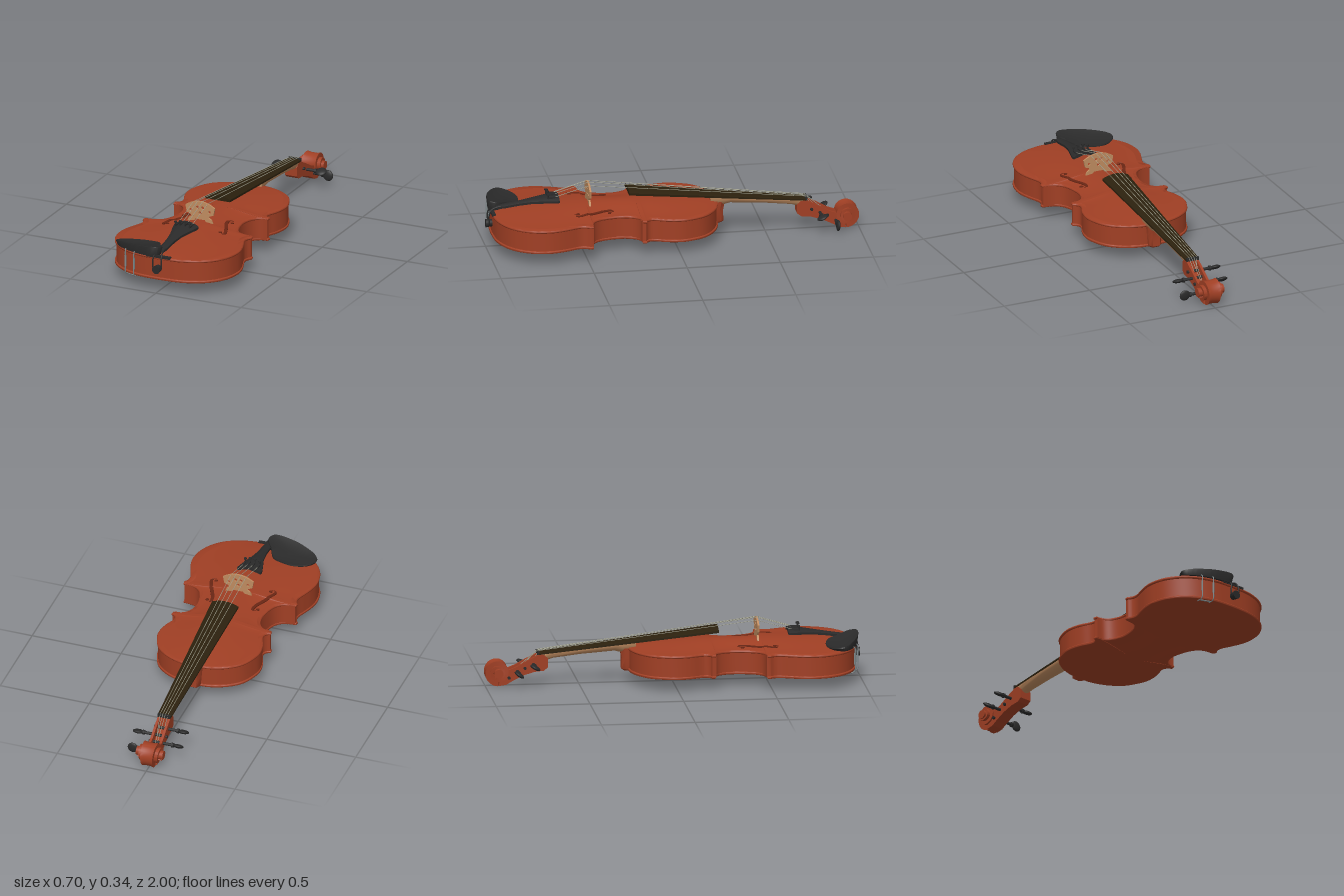
import * as THREE from 'three';
import { toCreasedNormals } from 'three/addons/utils/BufferGeometryUtils.js';

const mat = (name, color, side = THREE.FrontSide) => {
  const m = new THREE.MeshStandardMaterial({ color, side });
  m.name = name;
  return m;
};
const V = (x, y, z) => new THREE.Vector3(x, y, z);
const lerp = THREE.MathUtils.lerp;

// Solid skinned through a list of closed cross-sections with capped ends
function loft(sections, crease = 0.7) {
  const tris = [], n = sections[0].length;
  for (let i = 0; i < sections.length - 1; i++) for (let j = 0; j < n; j++) {
    const k = (j + 1) % n, p = sections[i], q = sections[i + 1];
    tris.push([p[j], p[k], q[j]], [p[k], q[k], q[j]]);
  }
  const cap = (s, flip) => {
    const c = s.reduce((a, p) => a.add(p), V(0, 0, 0)).divideScalar(n);
    for (let j = 0; j < n; j++) {
      const a = s[j], b = s[(j + 1) % n];
      tris.push(flip ? [c, b, a] : [c, a, b]);
    }
  };
  cap(sections[0], true);
  cap(sections[sections.length - 1], false);
  const volume = tris.reduce((s, [a, b, c]) => s + a.dot(b.clone().cross(c)), 0);
  const pos = tris.flatMap(([a, b, c]) => (volume < 0 ? [a, c, b] : [a, b, c]).flatMap(p => [p.x, p.y, p.z]));
  const g = new THREE.BufferGeometry();
  g.setAttribute('position', new THREE.Float32BufferAttribute(pos, 3));
  return toCreasedNormals(g, crease);
}

const spline = (pts, n) => new THREE.SplineCurve(pts.map(p => new THREE.Vector2(...p))).getPoints(n);

// Half outline of the body as (x, z): upper bout, waist, lower bout
const half = [
  ...spline([[0, -.24], [.08, -.235], [.17, -.2], [.24, -.14], [.28, -.05], [.286, .01], [.275, .07],
    [.255, .12], [.25, .148], [.262, .17], [.28, .178]], 44),
  ...spline([[.277, .2], [.24, .203], [.207, .23], [.187, .28], [.187, .34], [.205, .41], [.235, .45],
    [.272, .466], [.317, .47]], 32),
  ...spline([[.32, .488], [.305, .515], [.306, .55], [.325, .6], [.344, .66], [.35, .72], [.335, .8],
    [.29, .875], [.22, .93], [.12, .965], [0, .973]], 44),
];
const bodyShape = (sx, sz) => {
  const at = (p, s) => new THREE.Vector2(p.x * s * sx, -(0.366 + (p.y - 0.366) * sz));
  return new THREE.Shape([...half.map(p => at(p, 1)), ...half.slice(1, -1).reverse().map(p => at(p, -1))]);
};
const slab = (shape, y0, y1, bevel) => {
  const g = new THREE.ExtrudeGeometry(shape, {
    depth: y1 - y0 - 2 * bevel, bevelEnabled: bevel > 0, bevelSize: bevel, bevelThickness: bevel,
    bevelOffset: -bevel, bevelSegments: 3,
  });
  g.rotateX(-Math.PI / 2).translate(0, y0 + bevel, 0);
  return toCreasedNormals(g, 0.8);
};

// Arching of the plates
const swell = (s, z) => (0.5 + 0.5 * Math.cos(Math.PI * Math.min(1, s))) *
  Math.pow(Math.max(0, Math.sin(Math.PI * (z + 0.24) / 1.213)), 0.6);
function topY(x, z) {
  const i = Math.max(1, half.findIndex(p => p.y >= z));
  return 0.198 + 0.03 * swell(Math.abs(x) / half[i].x, z);
}
function archedPlate(y0, height) {
  const cols = 28, pos = [], idx = [];
  half.forEach((p, i) => {
    for (let j = 0; j <= cols; j++) {
      const s = j / cols * 2 - 1;
      pos.push(p.x * s * 0.975, y0 + height * swell(Math.abs(s), p.y), 0.366 + (p.y - 0.366) * 0.99);
      if (i && j) {
        const d = i * (cols + 1) + j, c = d - 1, b = d - cols - 1, a = b - 1;
        if (height > 0) idx.push(a, c, b, b, c, d); else idx.push(a, b, c, b, d, c);
      }
    }
  });
  const g = new THREE.BufferGeometry();
  g.setAttribute('position', new THREE.Float32BufferAttribute(pos, 3));
  g.setIndex(idx);
  g.computeVertexNormals();
  return g;
}

export function createModel() {
  const root = new THREE.Group();
  root.name = 'violin';
  const varnish = mat('varnish', 0xa03f24), maple = mat('maple', 0xc08c60), ebony = mat('ebony', 0x2a2a2a),
    board = mat('darkBoard', 0x2b200d), hole = mat('holeBrown', 0x6a2614),
    steel = mat('steel', 0x808a8c), stringMat = mat('string', 0xa5a593);
  const add = (name, g, m, parent = root) => {
    const mesh = new THREE.Mesh(g, m);
    mesh.name = name;
    parent.add(mesh);
    return mesh;
  };
  const tube = (pts, r, n = 24, sides = 8) => new THREE.TubeGeometry(new THREE.CatmullRomCurve3(pts), n, r, sides);

  // Body
  add('ribs', slab(bodyShape(.98, .988), .076, .19, 0), varnish);
  add('topEdge', slab(bodyShape(1, 1), .184, .199, .006), varnish);
  add('backEdge', slab(bodyShape(1, 1), .069, .084, .006), varnish);
  add('topPlate', archedPlate(.1985, .03), varnish);
  add('backPlate', archedPlate(.0695, -.035), varnish);

  // Sound holes: thin ribbons that follow the arching, with round ends
  const fCurve = spline([[.142, .358], [.132, .336], [.116, .342], [.122, .385], [.146, .44], [.166, .485],
    [.18, .53], [.166, .546], [.154, .528]], 40);
  for (const s of [-1, 1]) {
    add('soundHole', loft(fCurve.map((p, i) => {
      const w = .003 + .006 * Math.sin(Math.PI * i / 40), y = topY(p.x, p.y);
      return [[-w, .003], [w, .003], [w, -.003], [-w, -.003]].map(([d, h]) => V(s * (p.x + d), y + h, p.y - d * .4));
    })), hole);
    for (const p of [fCurve[0], fCurve[40]]) {
      add('soundHoleEnd', new THREE.CylinderGeometry(.009, .009, .006, 16).translate(s * p.x, topY(p.x, p.y), p.y), hole);
    }
  }

  // Neck heel, neck and fingerboard
  add('heel', loft([[.07, .028, -.262], [.08, .033, -.274], [.14, .038, -.272], [.19, .043, -.28], [.212, .044, -.285]]
    .map(([y, w, z]) => [V(-w, y, -.2), V(-w, y, z + .02), V(-w * .6, y, z), V(w * .6, y, z), V(w, y, z + .02), V(w, y, -.2)])), varnish);
  const boardTop = z => .182 + (z + .715) * .1236;
  const boardHalf = z => lerp(.037, .074, (z + .715) / .955);
  add('neck', loft([[-.2, .16], [-.27, .165], [-.31, .176], [-.5, .162], [-.64, .145], [-.7, .125]].map(([z, low]) => {
    const w = boardHalf(z) * .93, top = boardTop(z) - .014, ring = [];
    for (let i = 0; i <= 12; i++) ring.push(V(w * Math.cos(Math.PI * i / 12), top - (top - low) * Math.sin(Math.PI * i / 12), z));
    return ring;
  })), maple);
  add('fingerboard', loft([-.715, -.4, -.1, .24].map(z => {
    const w = boardHalf(z), t = boardTop(z), k = (z + .715) / .955, ring = [];
    for (let i = 0; i <= 10; i++) {
      const u = i / 5 - 1;
      ring.push(V(u * w, t - lerp(.004, .017, k) * u * u, z));
    }
    ring.push(V(w, t - lerp(.012, .029, k), z), V(-w, t - lerp(.012, .029, k), z));
    return ring;
  })), board);
  add('nut', new THREE.BoxGeometry(.07, .018, .012).translate(0, .178, -.718), ebony);

  // Pegbox: two cheeks and a floor, cut from a side profile of (z, y)
  const floorLine = [[-.93, .006], [-.89, .012], [-.86, .03], [-.8, .06], [-.74, .078], [-.69, .083], [-.668, .1]];
  const sideCut = (upper, x0, x1) => {
    const g = new THREE.ExtrudeGeometry(new THREE.Shape([...floorLine, ...upper].map(p => new THREE.Vector2(...p))),
      { depth: x1 - x0, bevelEnabled: false });
    return g.rotateY(-Math.PI / 2).translate(x1, 0, 0);
  };
  const cheek = [[-.668, .15], [-.69, .172], [-.715, .17], [-.78, .138], [-.84, .105], [-.88, .09], [-.92, .06]];
  add('pegboxCheek', sideCut(cheek, .022, .035), varnish);
  add('pegboxCheek', sideCut(cheek, -.035, -.022), varnish);
  add('pegboxFloor', sideCut([[-.668, .15], [-.69, .172], [-.72, .168], [-.73, .1], [-.8, .078], [-.86, .055], [-.88, .09], [-.92, .06]],
    -.023, .023), varnish);

  // Scroll: a spiral that widens towards its eye
  const turns = [];
  for (let i = 0; i <= 84; i++) {
    const a = i / 84 * Math.PI * 4.2, r = .076 * Math.exp(-.07 * a), w = .029 + .04 * i / 84;
    const at = (x, q) => V(x, .08 - q * Math.cos(a), -.933 - q * Math.sin(a));
    turns.push([at(-w, r), at(-w * .5, r * .94), at(w * .5, r * .94), at(w, r), at(w, r * .6), at(-w, r * .6)]);
  }
  add('scroll', loft(turns, .6), varnish);
  add('scrollEye', new THREE.CylinderGeometry(.024, .024, .15, 20).rotateZ(Math.PI / 2).translate(0, .08, -.933), varnish);

  // Tuning pegs
  const pegs = [[-1, -.745, .12], [1, -.79, .1], [-1, -.83, .083], [1, -.875, .05]];
  pegs.forEach(([s, z, y], i) => {
    const peg = new THREE.Group();
    peg.name = 'tuningPeg';
    peg.position.set(0, y, z);
    add('pegShaft', new THREE.CylinderGeometry(.008, .008, .15, 12).rotateZ(Math.PI / 2).translate(s * .03, 0, 0), ebony, peg);
    add('pegCollar', new THREE.CylinderGeometry(.013, .013, .012, 12).rotateZ(Math.PI / 2).translate(s * .088, 0, 0), ebony, peg);
    const head = add('pegHead', new THREE.SphereGeometry(1, 16, 12).scale(.03, .011, .03).translate(s * .119, 0, 0), ebony, peg);
    head.rotation.x = [.5, .4, .6, 1.5][i];
    root.add(peg);
  });

  // Bridge with a heart of two eyes and side cut-outs
  const arch = spline([[.086, .308], [.045, .329], [0, .337], [-.045, .329], [-.086, .308]], 20).map(p => [p.x, p.y]);
  const side = [[.078, .268], [.058, .262], [.05, .25], [.066, .24], [.075, .218], [.036, .222], [.028, .236]];
  const bridge = new THREE.Shape([...arch, ...side.map(([x, y]) => [-x, y]), ...side.slice().reverse()]
    .map(p => new THREE.Vector2(...p)));
  for (const [x, y, r] of [[-.015, .302, .009], [.015, .302, .009], [-.055, .283, .008], [.055, .283, .008], [0, .272, .009]]) {
    bridge.holes.push(new THREE.Path().absarc(x, y, r, 0, Math.PI * 2, true));
  }
  add('bridge', new THREE.ExtrudeGeometry(bridge, { depth: .01, bevelEnabled: false }).translate(0, 0, .445), maple);

  // Strings and fine tuners
  [-1.5, -.5, .5, 1.5].forEach((k, i) => {
    const path = new THREE.CurvePath();
    const pegIndex = [0, 2, 3, 1][i];
    const pts = [V(k * .027, .284 - k * k * .004, .63), V(k * .028, .339 - k * k * .005, .45),
      V(k * .014, .19, -.718), V(k * .009, pegs[pegIndex][2] + .008, pegs[pegIndex][1])];
    for (let j = 0; j < 3; j++) path.add(new THREE.LineCurve3(pts[j], pts[j + 1]));
    path.curves.forEach(c => add('string', new THREE.TubeGeometry(c, 1, .0015, 6), stringMat));
    const y = .286 - k * k * .004;
    add('fineTunerScrew', new THREE.CylinderGeometry(.003, .003, .03, 8).translate(k * .027, y, .67), ebony);
    add('fineTunerKnob', new THREE.CylinderGeometry(.008, .008, .007, 12).translate(k * .027, y + .013, .67), ebony);
    add('fineTunerLever', new THREE.BoxGeometry(.009, .008, .05).translate(k * .027, y - .006, .645), ebony);
  });

  // Tailpiece, tail loop, end button and saddle
  add('tailpiece', loft([[.612, .066, .28], [.63, .068, .279], [.69, .052, .272], [.75, .034, .262], [.82, .024, .25],
    [.9, .022, .238], [.945, .016, .232]].map(([z, w, y]) => {
    const ring = [];
    for (let i = 0; i <= 8; i++) ring.push(V((i / 4 - 1) * w, y - w * .3 * (i / 4 - 1) ** 2, z));
    for (let i = 8; i >= 0; i--) ring.push(V((i / 4 - 1) * w, y - .012 - w * .3 * (i / 4 - 1) ** 2, z));
    return ring;
  })), ebony);
  add('tailLoop', tube([V(-.014, .23, .92), V(-.02, .216, .968), V(-.024, .19, .984), V(-.022, .135, .984), V(0, .118, .984),
    V(.022, .135, .984), V(.024, .19, .984), V(.02, .216, .968), V(.014, .23, .92)], .004, 48), ebony);
  add('endButton', new THREE.CylinderGeometry(.023, .019, .034, 24).rotateX(Math.PI / 2).translate(0, .135, .983), ebony);
  add('saddle', new THREE.BoxGeometry(.14, .012, .02).translate(0, .2, .965), ebony);

  // Chin rest: a shallow cup beside the tailpiece
  const rim = new THREE.CatmullRomCurve3([V(-.288, 0, .88), V(-.26, 0, .835), V(-.2, 0, .806), V(-.13, 0, .803), V(-.06, 0, .825),
    V(-.03, 0, .88), V(.01, 0, .945), V(-.01, 0, .982), V(-.12, 0, .976), V(-.21, 0, .945), V(-.27, 0, .91)], true).getPoints(60).slice(0, -1);
  const cup = (k, drop, base) => rim.map(p => {
    const x = lerp(-.15, p.x, k), z = lerp(.89, p.z, k);
    return V(x, base ?? .207 + .2 * (z - .8) + .05 * (x + .29) - drop, z);
  });
  add('chinRest', loft([cup(.93, 0, .2), cup(1, .006), cup(.98, 0), cup(.9, .002), cup(.6, .008), cup(.25, .011)], .9), ebony);

  // Chin rest clamp
  const clamp = new THREE.Group();
  clamp.name = 'chinRestClamp';
  root.add(clamp);
  const legs = [[-.202, .95], [-.142, .972]];
  for (const [x, z] of legs) {
    add('clampRod', tube([V(x, .208, z - .01), V(x, .2, z), V(x, .14, z), V(x, .075, z), V(x, .066, z - .012), V(x, .064, z - .035)], .003), steel, clamp);
    add('clampBarrel', new THREE.CylinderGeometry(.005, .005, .06, 10).translate(x, .14, z), steel, clamp);
  }
  add('clampFoot', tube(legs.map(([x, z]) => V(x, .065, z - .02)), .004, 4), steel, clamp);
  return root;
}
